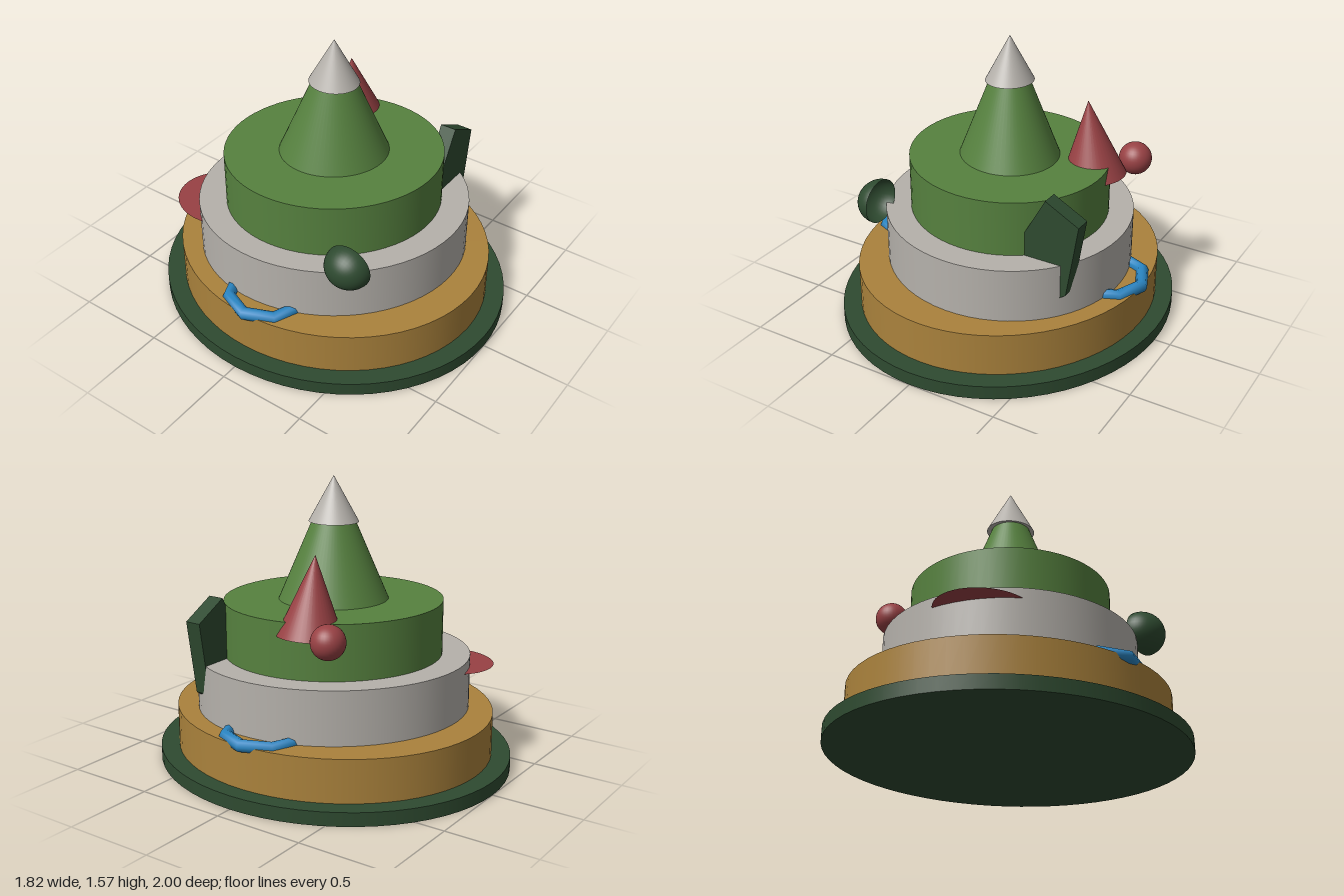
import * as THREE from 'three';

const mat = (name, color, side = THREE.FrontSide) => {
  const m = new THREE.MeshStandardMaterial({ color, side });
  m.name = name;
  return m;
};

export function createModel() {
  const group = new THREE.Group();
  const darkGreen = mat('dark green', 0x2e4a30, THREE.DoubleSide);
  const tan = mat('tan', 0xaa823c);
  const stone = mat('stone grey', 0xb5b1ab);
  const green = mat('leaf green', 0x56813f);
  const red = mat('red', 0x984144, THREE.DoubleSide);
  const blue = mat('blue', 0x2a85c2);

  const add = (name, geometry, material, x = 0, y = 0, z = 0) => {
    const mesh = new THREE.Mesh(geometry, material);
    mesh.name = name;
    mesh.position.set(x, y, z);
    group.add(mesh);
    return mesh;
  };

  // Elliptical tier: semi-axes rx and rz, from y0 to y1, turned about y
  const tier = (name, material, rx, rz, y0, y1, turn = 0, taper = 1) => {
    const g = new THREE.CylinderGeometry(taper, 1, y1 - y0, 64);
    g.scale(rx, 1, rz).rotateY(THREE.MathUtils.degToRad(turn));
    return add(name, g, material, 0, (y0 + y1) / 2, 0);
  };

  // Stacked tiers, spire and its cap
  tier('basePlate', darkGreen, 0.91, 1.0, 0, 0.075);
  tier('lowerTier', tan, 0.815, 0.895, 0.075, 0.31);
  tier('middleTier', stone, 0.68, 0.747, 0.31, 0.605, 35);
  tier('upperTier', green, 0.543, 0.596, 0.605, 0.905, 40);
  tier('spire', green, 0.27, 0.298, 0.905, 1.34, 40, 0.375);
  tier('spireCap', stone, 0.128, 0.138, 1.325, 1.57, 0, 0);

  // Leaning red cone with a ball beside it
  const cone = add('leaningCone', new THREE.ConeGeometry(0.174, 0.42, 40), red, 0.409, 1.021, -0.157);
  cone.rotation.z = THREE.MathUtils.degToRad(6.6);
  add('ball', new THREE.SphereGeometry(0.09, 32, 20), red, 0.575, 0.855, -0.37);

  // Thin ledge at the back
  const ledge = new THREE.CircleGeometry(1, 48);
  ledge.rotateX(-Math.PI / 2).scale(0.235, 1, 0.26);
  add('backLedge', ledge, red, -0.34, 0.55, -0.52);

  // Angular slab driven into the tiers
  const outline = [[0.48, 0.945], [0.3, 0.62], [0.38, 0.29], [0.605, 0.44], [0.668, 0.845]];
  const slab = new THREE.Shape(outline.map(([x, y]) => new THREE.Vector2(x, y)));
  add('slab', new THREE.ExtrudeGeometry(slab, { depth: 0.09, bevelEnabled: false }), darkGreen, 0, 0, 0.38);

  // Open half dome bulging to the side
  const dome = new THREE.SphereGeometry(1, 32, 12, 0, Math.PI * 2, 0, Math.PI / 2);
  dome.rotateZ(Math.PI / 2).scale(0.122, 0.12, 0.13);
  add('sideDome', dome, darkGreen, -0.53, 0.67, 0.47);

  // Eight-sided ring handles on both sides
  for (const side of [-1, 1]) {
    const ring = new THREE.TorusGeometry(0.212, 0.035, 8, 8);
    ring.rotateX(Math.PI / 2);
    add(side > 0 ? 'leftHandle' : 'rightHandle', ring, blue, side * 0.6, 0.31, 0);
  }
  return group;
}
